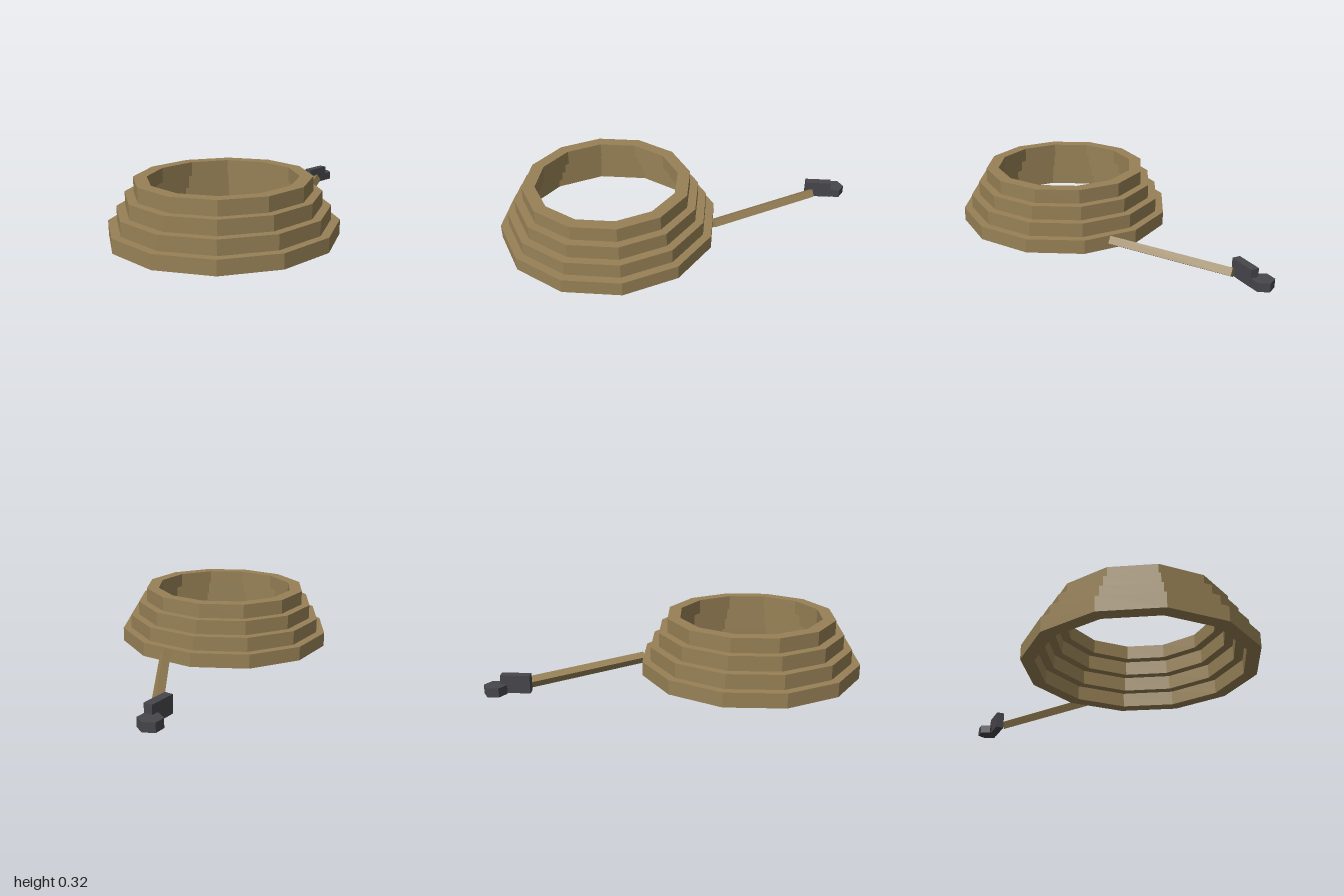
import * as THREE from 'three';

const rope = new THREE.MeshStandardMaterial({ color: 0x978156 });
rope.name = 'rope tan';
const metal = new THREE.MeshStandardMaterial({ color: 0x47474c });
metal.name = 'dark metal';

// Faceted mesh: split vertices so every face gets its own normal
function part(name, geometry, material) {
  const flat = geometry.index ? geometry.toNonIndexed() : geometry;
  flat.computeVertexNormals();
  const mesh = new THREE.Mesh(flat, material);
  mesh.name = name;
  return mesh;
}

// Twelve-sided ring with a square section, sized by its flat sides
function coilRing(apothem, height, thickness) {
  const k = 1 / Math.cos(Math.PI / 12);
  const outer = apothem * k, inner = (apothem - thickness) * k;
  const profile = [[inner, 0], [outer, 0], [outer, height], [inner, height], [inner, 0]]
    .map(([r, y]) => new THREE.Vector2(r, y));
  return new THREE.LatheGeometry(profile, 12).rotateY(Math.PI / 12);
}

// Four-sided bar between two points, rolled about its length
function bar(from, to, radius, roll) {
  const dir = to.clone().sub(from);
  const length = dir.length();
  dir.normalize();
  const side = dir.clone().cross(new THREE.Vector3(0, 1, 0)).normalize();
  const up = side.clone().cross(dir);
  const g = new THREE.CylinderGeometry(radius, radius, length, 4, 1, false, roll);
  g.applyMatrix4(new THREE.Matrix4().makeBasis(side, dir, up));
  const mid = from.clone().add(to).multiplyScalar(0.5);
  return g.translate(mid.x, mid.y, mid.z);
}

export function createModel() {
  const model = new THREE.Group();
  model.name = 'coiledRope';

  // Stacked coils, narrowing upward
  const coils = new THREE.Group();
  coils.name = 'coils';
  coils.position.x = -0.4;
  for (let i = 0; i < 4; i++) {
    const ring = part(`coil${i + 1}`, coilRing(0.6 - i * 0.0465, 0.08, 0.07), rope);
    ring.position.y = i * 0.08;
    coils.add(ring);
  }
  model.add(coils);

  // Loose end running out to the fitting
  const start = new THREE.Vector3(0.205, 0.052, 0);
  const end = new THREE.Vector3(0.796, 0.034, -0.39);
  model.add(part('looseEnd', bar(start, end, 0.0315, Math.PI / 12), rope));

  // Metal fitting: upright block and hexagonal nut
  const fitting = new THREE.Group();
  fitting.name = 'fitting';
  const block = part('fittingBlock', new THREE.BoxGeometry(0.155, 0.097, 0.046), metal);
  block.position.set(0.8375, 0.0485, -0.432);
  const nut = part('fittingNut',
    new THREE.CylinderGeometry(0.061, 0.061, 0.049, 6, 1, false, Math.PI / 6), metal);
  nut.position.set(0.939, 0.0245, -0.464);
  fitting.add(block, nut);
  model.add(fitting);

  return model;
}
